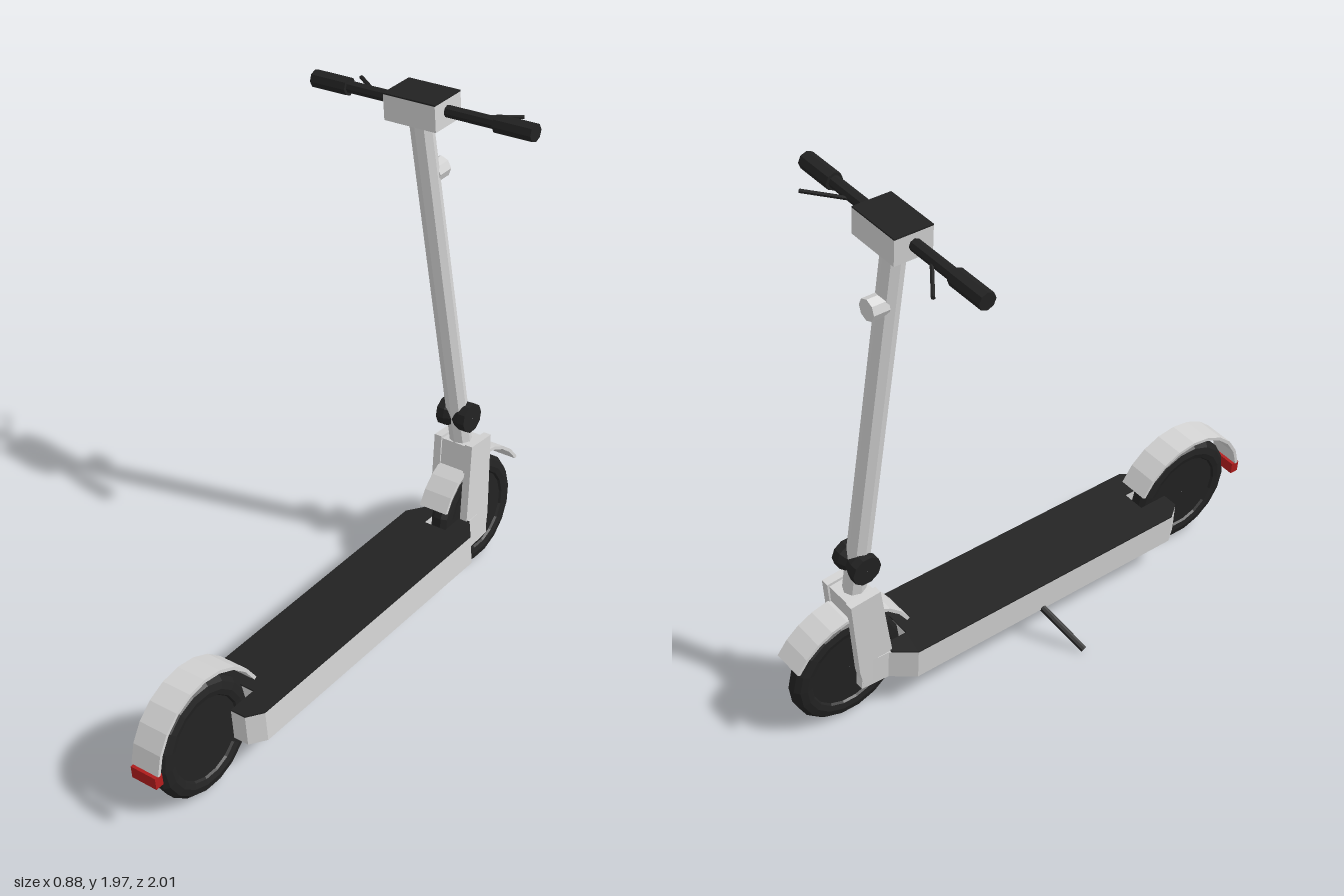
import * as THREE from 'three';

export function createModel() {
  const mat = (name, color) => {
    const m = new THREE.MeshStandardMaterial({ color });
    m.name = name;
    return m;
  };
  const silver = mat('silver', 0xd2d2d2);
  const black = mat('black', 0x222222);
  const red = mat('red', 0xb01c1c);

  const root = new THREE.Group();
  root.name = 'kickScooter';
  // the whole scooter leans over onto its kickstand
  const body = new THREE.Group();
  body.name = 'leaningBody';
  body.position.x = 0.197;
  body.rotation.z = 0.1;
  root.add(body);

  const add = (name, geo, material, parent = body) => {
    const g = geo.index ? geo.toNonIndexed() : geo;
    g.computeVertexNormals(); // faceted look
    const mesh = new THREE.Mesh(g, material);
    mesh.name = name;
    parent.add(mesh);
    return mesh;
  };
  const box = (name, w, h, d, x, y, z, material) =>
    add(name, new THREE.BoxGeometry(w, h, d).translate(x, y, z), material);
  // cylinder between two points
  const rod = (name, a, b, r, sides, material, parent) => {
    const from = new THREE.Vector3(...a), to = new THREE.Vector3(...b);
    const dir = to.clone().sub(from);
    const mesh = add(name, new THREE.CylinderGeometry(r, r, dir.length(), sides), material, parent);
    mesh.position.copy(from).add(to).multiplyScalar(0.5);
    mesh.quaternion.setFromUnitVectors(new THREE.Vector3(0, 1, 0), dir.normalize());
    return mesh;
  };
  const toShape = pts => new THREE.Shape(pts.map(p => new THREE.Vector2(...p)));
  // side profile given as (z, y), extruded across x
  const sidePlate = (name, pts, width, x, material) =>
    add(name, new THREE.ExtrudeGeometry(toShape(pts), { depth: width, bevelEnabled: false })
      .rotateY(-Math.PI / 2).translate(x + width / 2, 0, 0), material);
  // plan given as (x, z) for the +x half, mirrored and extruded downward from yTop
  const planPlate = (name, half, yTop, height, material) => {
    const pts = [...half, ...half.map(([x, z]) => [-x, z]).reverse()];
    return add(name, new THREE.ExtrudeGeometry(toShape(pts), { depth: height, bevelEnabled: false })
      .rotateX(Math.PI / 2).translate(0, yTop, 0), material);
  };

  // deck with a slot for each wheel and two front arms
  planPlate('deck', [
    [0.045, 0.51], [0.045, 0.625], [0.105, 0.625], [0.145, 0.57], [0.145, -0.58],
    [0.085, -0.66], [0.08, -0.765], [0.047, -0.765], [0.047, -0.56],
  ], 0.27, 0.115, silver);
  planPlate('deckMat', [
    [0.045, 0.51], [0.045, 0.625], [0.105, 0.625], [0.145, 0.57], [0.145, -0.58],
    [0.09, -0.652], [0.047, -0.652], [0.047, -0.56],
  ], 0.275, 0.005, black);

  // wheels: tyre and recessed hub in one turned profile
  const tyreProfile = [
    [0.001, -0.026], [0.15, -0.026], [0.155, -0.034], [0.175, -0.039], [0.2, -0.033],
    [0.215, -0.015], [0.215, 0.015], [0.2, 0.033], [0.175, 0.039], [0.155, 0.034],
    [0.15, 0.026], [0.001, 0.026],
  ].map(p => new THREE.Vector2(...p));
  const wheelY = 0.225;
  for (const [name, z] of [['rearWheel', 0.735], ['frontWheel', -0.78]]) {
    add(name, new THREE.LatheGeometry(tyreProfile, 18).rotateZ(Math.PI / 2)
      .translate(0, wheelY, z), black);
  }

  // curved mudguards
  const fender = (name, z, startDeg, endDeg) => {
    const steps = 9, outer = [], inner = [];
    for (let i = 0; i <= steps; i++) {
      const a = THREE.MathUtils.degToRad(startDeg + (endDeg - startDeg) * i / steps);
      outer.push([z + 0.258 * Math.cos(a), wheelY + 0.258 * Math.sin(a)]);
      inner.push([z + 0.246 * Math.cos(a), wheelY + 0.246 * Math.sin(a)]);
    }
    sidePlate(name, [...outer, ...inner.reverse()], 0.115, 0, silver);
  };
  fender('rearFender', 0.735, 9, 155);
  fender('frontFender', -0.78, 29, 151);
  box('tailLight', 0.105, 0.045, 0.033, 0, 0.24, 0.983, red);

  // fork: two side plates joined by a crown
  const forkProfile = [
    [-0.695, 0.57], [-0.812, 0.56], [-0.775, 0.24], [-0.76, 0.175], [-0.64, 0.175], [-0.645, 0.28],
  ];
  for (const s of [-1, 1]) sidePlate('forkSide', forkProfile, 0.03, s * 0.067, silver);
  sidePlate('forkCrown', [[-0.7, 0.56], [-0.803, 0.55], [-0.795, 0.46], [-0.68, 0.45]], 0.105, 0, silver);

  // steering column and folding joint
  rod('stem', [0, 0.52, -0.745], [0, 1.87, -0.6], 0.04, 8, silver);
  const joint = [[0.001, -0.06], [0.055, -0.06], [0.055, -0.03], [0.043, 0], [0.055, 0.03],
    [0.055, 0.06], [0.001, 0.06]].map(p => new THREE.Vector2(...p));
  add('foldingJoint', new THREE.LatheGeometry(joint, 10).rotateZ(Math.PI / 2)
    .translate(0, 0.665, -0.733), black);
  rod('headlight', [0, 1.655, -0.64], [0, 1.655, -0.7], 0.038, 8, silver);

  // handlebar
  const barY = 1.91, barZ = -0.607;
  box('controlBox', 0.205, 0.09, 0.14, 0, 1.905, -0.61, silver);
  box('controlPanel', 0.205, 0.005, 0.14, 0, 1.9525, -0.61, black);
  for (const s of [-1, 1]) {
    rod('handlebar', [s * 0.1, barY, barZ], [s * 0.3, barY, barZ], 0.021, 8, black);
    rod('grip', [s * 0.293, barY, barZ], [s * 0.437, barY, barZ], 0.031, 8, black);
    rod('brakeLever', [s * 0.2, barY - 0.004, -0.62], [s * 0.325, barY - 0.012, -0.71], 0.007, 6, black);
  }

  // kickstand resting on the floor
  rod('kickstand', [0.08, 0.172, -0.045], [-0.11, 0.014, 0.033], 0.013, 8, black, root);

  return root;
}
